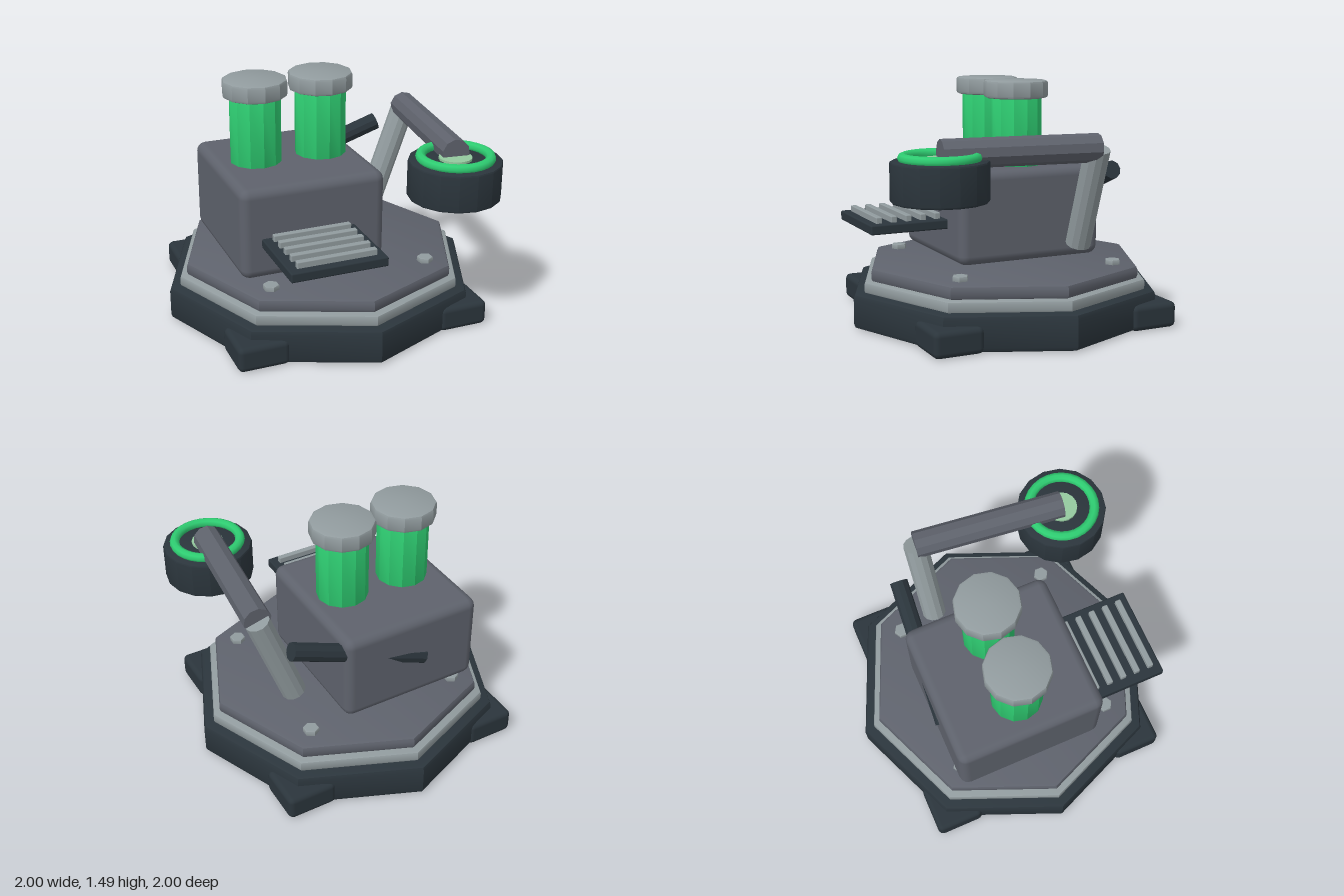
import * as THREE from 'three';
import { toCreasedNormals } from 'three/addons/utils/BufferGeometryUtils.js';
import { RoundedBoxGeometry } from 'three/addons/geometries/RoundedBoxGeometry.js';

const paint = (name, color) => {
  const m = new THREE.MeshStandardMaterial({ color });
  m.name = name;
  return m;
};

export function createModel() {
  const dark = paint('dark slate', 0x2b353c);
  const grey = paint('machine grey', 0x5e626c);
  const light = paint('light steel', 0x919b9e);
  const green = paint('bright green', 0x2ecc71);
  const pale = paint('pale green', 0x94c99e);

  const model = new THREE.Group();
  model.name = 'machine';

  const add = (name, geometry, material, x = 0, y = 0, z = 0) => {
    const mesh = new THREE.Mesh(geometry, material);
    mesh.name = name;
    mesh.position.set(x, y, z);
    model.add(mesh);
    return mesh;
  };

  // Upright prism with chamfered rims, standing on its own y = 0
  const prism = (r, h, sides, bevel) => {
    const k = bevel * 0.3;
    const profile = [
      [0, 0], [r - bevel, 0], [r - k, k], [r, bevel],
      [r, h - bevel], [r - k, h - k], [r - bevel, h], [0, h],
    ].map(([x, y]) => new THREE.Vector2(x, y));
    return toCreasedNormals(new THREE.LatheGeometry(profile, sides), 0.45);
  };

  // Box given by its minimum and maximum corners
  const box = (name, a, b, radius, material) => {
    const s = a.map((v, i) => b[i] - v);
    const c = a.map((v, i) => (b[i] + v) / 2);
    return add(name, new RoundedBoxGeometry(...s, 2, radius), material, ...c);
  };

  // Straight round bar between two points
  const bar = (name, from, to, r, sides, material) => {
    const a = new THREE.Vector3(...from), b = new THREE.Vector3(...to);
    const dir = b.clone().sub(a);
    const geo = toCreasedNormals(new THREE.CylinderGeometry(r, r, dir.length(), sides), 0.45);
    const mesh = add(name, geo, material, ...a.clone().add(b).multiplyScalar(0.5));
    mesh.quaternion.setFromUnitVectors(new THREE.Vector3(0, 1, 0), dir.normalize());
    return mesh;
  };

  // Stepped octagonal base
  add('base', prism(1, 0.22, 8, 0.03), dark);
  add('baseTrim', prism(0.93, 0.07, 8, 0.015), light, 0, 0.215, 0);
  add('basePlate', prism(0.885, 0.085, 8, 0.025), grey, 0, 0.28, 0);

  // Corner feet and bolts
  for (const sx of [-1, 1]) {
    for (const sz of [-1, 1]) {
      add('foot', new RoundedBoxGeometry(0.32, 0.16, 0.31, 2, 0.035), dark, sx * 0.65, 0.08, sz * 0.645);
      add('bolt', prism(0.05, 0.04, 6, 0.006), light, sx * 0.51, 0.355, sz * 0.515);
    }
  }

  // Main housing
  box('housing', [-0.65, 0.38, -0.555], [0.28, 0.96, 0.41], 0.06, grey);

  // Two glowing canisters with lids
  for (const x of [-0.39, 0.04]) {
    add('canister', prism(0.162, 0.5, 12, 0.005), green, x, 0.92, -0.075);
    add('canisterLid', prism(0.203, 0.11, 12, 0.018), light, x, 1.38, -0.075);
  }

  // Slatted tray on the front
  box('tray', [-0.525, 0.585, 0.36], [0.075, 0.645, 0.905], 0.01, dark);
  for (let i = 0; i < 5; i++) {
    const z = 0.835 - i * 0.095;
    box('traySlat', [-0.47, 0.63, z - 0.019], [0.025, 0.683, z + 0.019], 0.006, light);
  }

  // Pipe running slantwise through the housing
  bar('pipe', [-0.28, 0.65, -0.52], [0.595, 0.97, -0.45], 0.057, 10, dark);

  // Jointed arm
  bar('lowerArm', [0.498, 0.51, -0.275], [0.72, 1.12, -0.275], 0.077, 12, light);
  bar('upperArm', [0.717, 1.125, -0.28], [0.607, 1.125, 0.675], 0.086, 10, grey);

  // Round head with glowing ring and lens
  add('armHead', prism(0.283, 0.235, 16, 0.012), dark, 0.603, 0.855, 0.675);
  const ring = add('headRing', new THREE.TorusGeometry(0.208, 0.031, 8, 28), green, 0.603, 1.105, 0.675);
  ring.rotation.x = Math.PI / 2;
  add('headLens', new THREE.CylinderGeometry(0.1, 0.1, 0.03, 16), pale, 0.603, 1.09, 0.675);

  return model;
}
